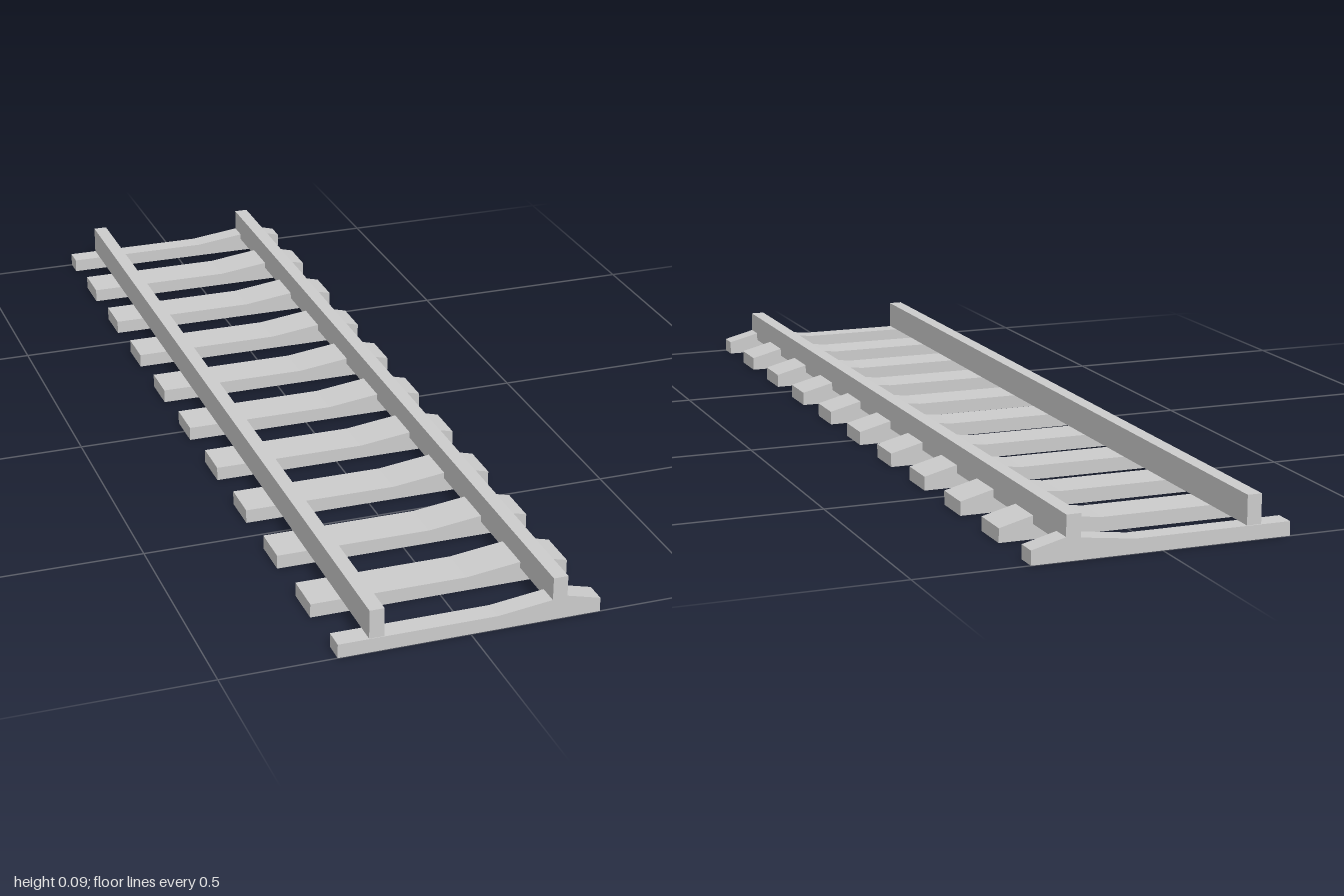
import * as THREE from 'three';

export function createModel() {
  const group = new THREE.Group();
  const material = new THREE.MeshStandardMaterial({ color: 0xcccccc, flatShading: true });

  // Sleeper cross-section: flat, with a raised seat under the +x rail
  const profile = new THREE.Shape([
    [-0.267, 0], [0.267, 0], [0.267, 0.029], [0.197, 0.047],
    [0.185, 0.05], [0.167, 0.043], [0.055, 0.029], [-0.267, 0.029],
  ].map(([x, y]) => new THREE.Vector2(x, y)));

  // Sleepers every 0.2 units; the two end ones are cut in half
  const halfWidth = 0.044;
  for (let i = -5; i <= 5; i++) {
    const z0 = Math.max(-1, i * 0.2 - halfWidth);
    const z1 = Math.min(1, i * 0.2 + halfWidth);
    const geometry = new THREE.ExtrudeGeometry(profile, { depth: z1 - z0, bevelEnabled: false });
    const sleeper = new THREE.Mesh(geometry, material);
    sleeper.name = 'sleeper';
    sleeper.position.z = z0;
    group.add(sleeper);
  }

  // Rails
  for (const [name, x] of [['leftRail', 0.182], ['rightRail', -0.19]]) {
    const rail = new THREE.Mesh(new THREE.BoxGeometry(0.03, 0.06, 2), material);
    rail.name = name;
    rail.position.set(x, 0.06, 0);
    group.add(rail);
  }
  return group;
}
